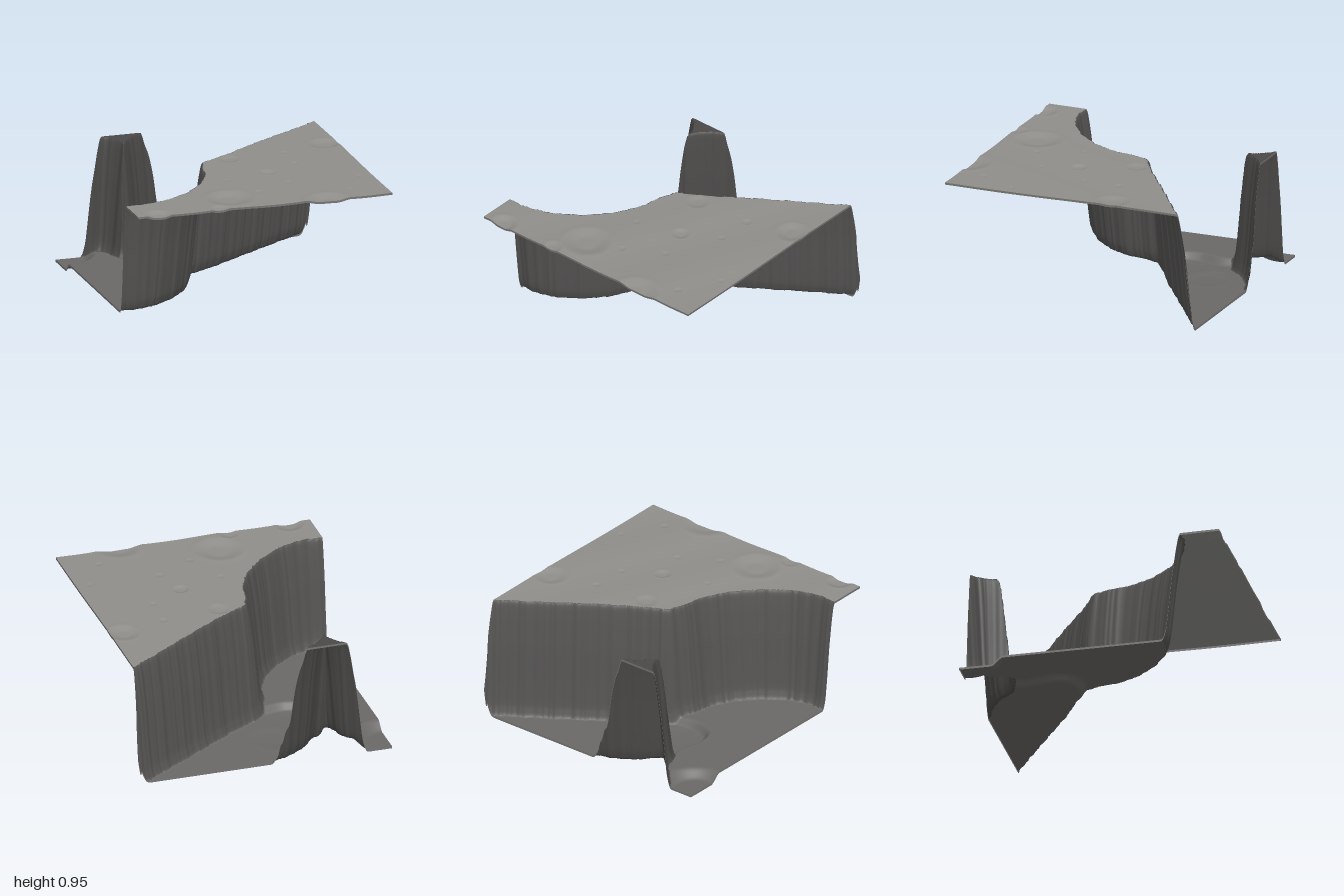
import * as THREE from 'three';

const N = 260; // grid cells per side
const { smoothstep, lerp } = THREE.MathUtils;

const COLORS = { plateau: 0x8f8e8a, canyonWall: 0x555453, canyonFloor: 0x6a6967, ridge: 0x4b4a49, borderRim: 0x777673 };

const curve = pts => new THREE.CatmullRomCurve3(
  pts.map(([x, z]) => new THREE.Vector3(x, 0, z))).getSpacedPoints(90);

// Signed distance to a sampled path, positive on its right-hand side; also the length along it
function distanceTo(path, x, z) {
  let best = Infinity, sign = 1, along = 0;
  for (let i = 0; i < path.length - 1; i++) {
    const a = path[i], dx = path[i + 1].x - a.x, dz = path[i + 1].z - a.z;
    const px = x - a.x, pz = z - a.z, len2 = dx * dx + dz * dz;
    const t = Math.min(1, Math.max(0, (px * dx + pz * dz) / len2));
    const d = Math.hypot(px - t * dx, pz - t * dz);
    if (d < best) {
      best = d;
      along = (i + t) * Math.sqrt(len2);
      sign = dx * pz - dz * px >= 0 ? 1 : -1;
    }
  }
  return { d: best * sign, along };
}

// Cliff profile: short flare at the foot, a steep face, a rounded brow
const PROFILE = [[0, 0], [0.1, 0.015], [0.25, 0.09], [0.4, 0.3], [0.58, 0.6], [0.78, 0.84], [0.92, 0.97], [1, 1]];
function cliff(t) {
  if (t <= 0) return 0;
  for (let i = 1; i < PROFILE.length; i++) {
    const [t0, h0] = PROFILE[i - 1], [t1, h1] = PROFILE[i];
    if (t <= t1) return lerp(h0, h1, (t - t0) / (t1 - t0));
  }
  return 1;
}

// Irregular vertical gullies on the cliff faces
const gullies = s => 0.003 * Math.sin(s * 29) + 0.0025 * Math.sin(s * 67 + 1 + 2 * Math.sin(s * 11))
  + 0.0015 * Math.sin(s * 113 + 2 * Math.sin(s * 23));

// Craters: x, z, radius, depth
const PLATEAU_CRATERS = [
  [-0.2, 0.75, 0.19, 0.022], [0.9, -0.33, 0.13, 0.016], [0.27, 0.22, 0.07, 0.011], [0.1, -0.18, 0.09, 0.01],
  [-0.83, 0.97, 0.11, 0.018], [-0.35, 0.97, 0.08, 0.01], [0.5, 1.02, 0.18, 0.02], [0.55, -0.22, 0.04, 0.006],
  [0.54, 0.06, 0.035, 0.005], [0.35, 0.49, 0.035, 0.005], [0.06, 0.65, 0.035, 0.005], [0.73, 0.8, 0.035, 0.005],
  [0.9, 0.5, 0.03, 0.004], [-0.08, 0.32, 0.03, 0.004],
];
const FLOOR_CRATERS = [[-0.2, -0.62, 0.19, 0.007], [-0.4, -0.38, 0.2, 0.006]];
function craters(list, x, z) {
  let y = 0;
  for (const [cx, cz, r, depth] of list) {
    const q = Math.hypot(x - cx, z - cz) / r;
    if (q < 1) y -= depth * (1 - smoothstep(q, 0.35, 1));
    y += depth * 0.1 * Math.exp(-(((q - 1.03) / 0.14) ** 2));
  }
  return y;
}

export function createModel() {
  const wallPath = curve([[-1.25, 0.62], [-1, 0.63], [-0.78, 0.61], [-0.57, 0.5], [-0.39, 0.33], [-0.27, 0.13],
    [-0.22, -0.08], [-0.16, -0.22], [0.05, -0.345], [0.5, -0.645], [0.97, -0.955], [1.3, -1.17]]);
  const ridgePath = curve([[0.15, -1.1], [-0.05, -1], [-0.3, -0.88], [-0.49, -0.7], [-0.59, -0.68],
    [-0.67, -0.86], [-0.81, -1], [-0.87, -1.1]]);
  const terracePath = curve([[-0.05, -0.25], [-0.25, -0.19], [-0.42, -0.17], [-0.57, -0.24], [-0.61, -0.4],
    [-0.57, -0.6], [-0.6, -0.8], [-0.6, -1.2]]);

  // Height and region of the ground at a point
  function ground(x, z) {
    const wall = distanceTo(wallPath, x, z);
    const ridge = distanceTo(ridgePath, x, z);
    const t = (wall.d + 0.071 + gullies(wall.along)) / 0.142;
    const r = (ridge.d + gullies(ridge.along)) / 0.12;
    const top = 0.952 + 0.003 * Math.sin(x * 9 + z * 4) + craters(PLATEAU_CRATERS, x, z);
    const basin = 0.065 * (1 - smoothstep(Math.hypot(x + 1, z + 0.95), 0.19, 0.29));
    const terrace = 0.053 * smoothstep(distanceTo(terracePath, x, z).d, 0, 0.06);
    const floor = 0.088 - Math.max(basin, terrace) + craters(FLOOR_CRATERS, x, z);
    const y = Math.max(lerp(floor, top, cliff(t)), lerp(floor, 0.955, cliff(r)));
    const part = t >= 1 ? 'plateau' : t > 0 ? 'canyonWall' : r > 0 ? 'ridge' : 'canyonFloor';
    return { y, part };
  }

  // Height grid, its cells sorted into the named regions
  const positions = [], parts = [];
  for (let j = 0; j <= N; j++) {
    for (let i = 0; i <= N; i++) {
      const x = -1 + 2 * i / N, z = -1 + 2 * j / N;
      const { y, part } = ground(x, z);
      positions.push(x, y, z);
      parts.push(part);
    }
  }
  const indices = { plateau: [], canyonWall: [], canyonFloor: [], ridge: [] };
  const all = [];
  for (let j = 0; j < N; j++) {
    for (let i = 0; i < N; i++) {
      const a = j * (N + 1) + i, b = a + 1, c = a + N + 1, d = c + 1;
      const cell = [a, c, b, b, c, d];
      indices[parts[a]].push(...cell);
      all.push(...cell);
    }
  }
  const land = new THREE.BufferGeometry();
  land.setAttribute('position', new THREE.Float32BufferAttribute(positions, 3));
  land.setIndex(all);
  land.computeVertexNormals();

  const group = new THREE.Group();
  group.name = 'canyonTerrain';
  const add = (name, geometry) => {
    const material = new THREE.MeshStandardMaterial({ color: COLORS[name], side: THREE.DoubleSide });
    const mesh = new THREE.Mesh(geometry, material);
    mesh.name = name;
    group.add(mesh);
  };
  for (const [name, index] of Object.entries(indices)) {
    const part = new THREE.BufferGeometry();
    part.setAttribute('position', land.attributes.position);
    part.setAttribute('normal', land.attributes.normal);
    part.setIndex(index);
    add(name, part);
  }

  // Thin rim showing the thickness of the ground along its border
  const border = [];
  for (let i = 0; i < N; i++) border.push(i);
  for (let j = 0; j < N; j++) border.push(j * (N + 1) + N);
  for (let i = N; i > 0; i--) border.push(N * (N + 1) + i);
  for (let j = N; j > 0; j--) border.push(j * (N + 1));
  const rim = [], rimIndex = [];
  border.forEach((v, k) => {
    const [x, y, z] = positions.slice(v * 3, v * 3 + 3);
    rim.push(x, y, z, x, Math.max(0, y - 0.016), z);
    const a = 2 * k, b = 2 * ((k + 1) % border.length);
    rimIndex.push(a, b, a + 1, b, b + 1, a + 1);
  });
  const rimGeometry = new THREE.BufferGeometry();
  rimGeometry.setAttribute('position', new THREE.Float32BufferAttribute(rim, 3));
  rimGeometry.setIndex(rimIndex);
  rimGeometry.computeVertexNormals();
  add('borderRim', rimGeometry);
  return group;
}
